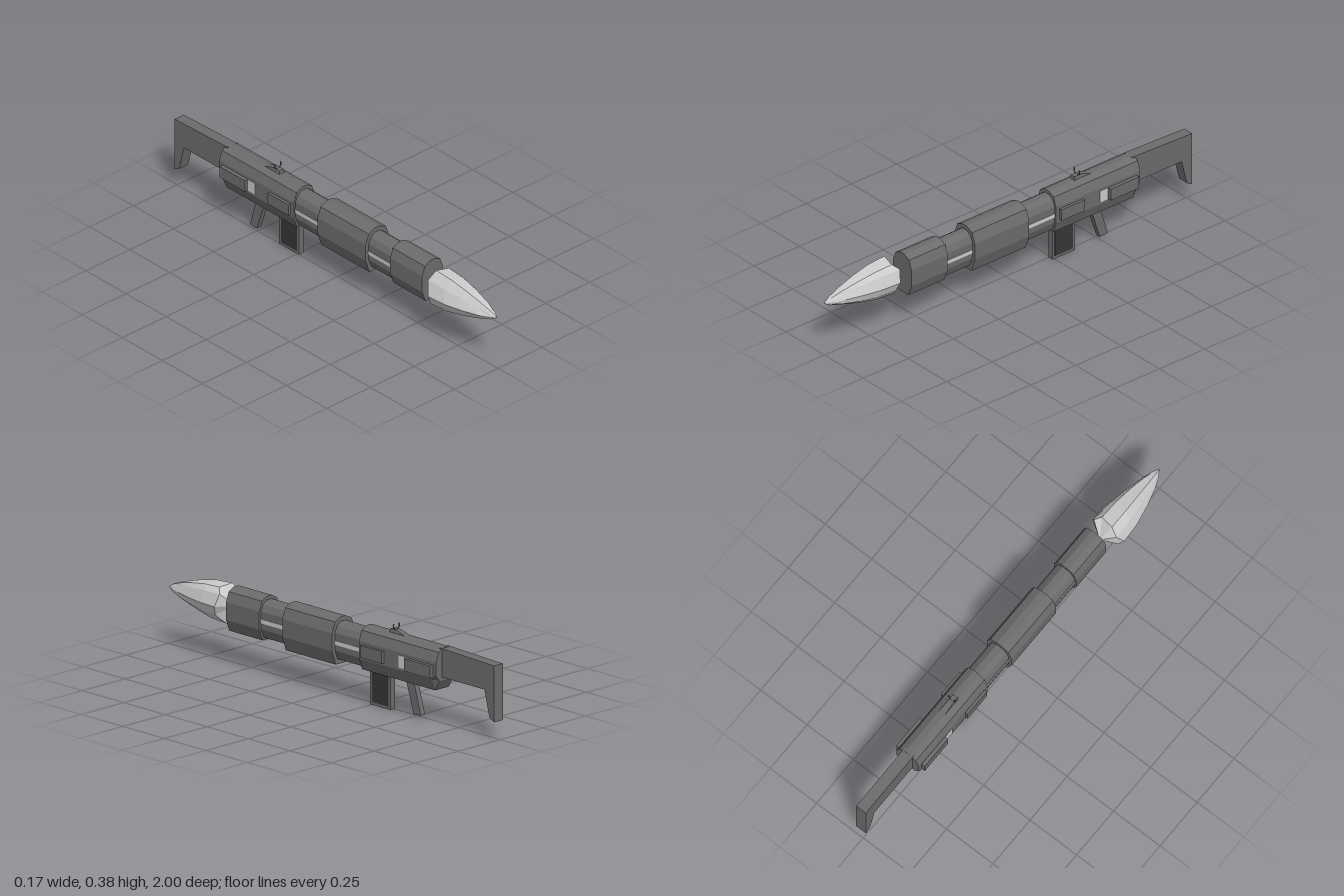
import * as THREE from 'three';

const AXIS = 0.011; // the body sits slightly off centre
const material = (color) => new THREE.MeshStandardMaterial({ color, flatShading: true, side: THREE.DoubleSide });
const light = material(0xcccccc);
const dark = material(0x6c6c6c);
const black = material(0x363636);

function mesh(name, geometry, mat, parent) {
  const m = new THREE.Mesh(geometry, mat);
  m.name = name;
  parent.add(m);
  return m;
}

function box(name, [x0, x1], [y0, y1], [z0, z1], mat, parent) {
  const m = mesh(name, new THREE.BoxGeometry(x1 - x0, y1 - y0, z1 - z0), mat, parent);
  m.position.set((x0 + x1) / 2, (y0 + y1) / 2, (z0 + z1) / 2);
  return m;
}

// Skin through rings of points, listed from back to front, with closed ends
function loft(rings) {
  const pos = [];
  const n = rings[0].length;
  const tri = (...pts) => pts.forEach((p) => pos.push(...p));
  for (let r = 0; r < rings.length - 1; r++) {
    for (let i = 0; i < n; i++) {
      const j = (i + 1) % n;
      const a = rings[r], b = rings[r + 1];
      tri(a[i], a[j], b[j]);
      tri(a[i], b[j], b[i]);
    }
  }
  const back = rings[0], front = rings[rings.length - 1];
  for (let i = 1; i < n - 1; i++) {
    tri(back[0], back[i + 1], back[i]);
    tri(front[0], front[i], front[i + 1]);
  }
  const g = new THREE.BufferGeometry();
  g.setAttribute('position', new THREE.Float32BufferAttribute(pos, 3));
  g.computeVertexNormals();
  return g;
}

// Tall faceted body section with a shallow ridge on top
function section(z, hw, y0, y1, low = 0.206) {
  const half = [
    [hw * 0.68, y0], [hw, low], [hw, 0.284], [hw * 0.74, y1 - 0.016], [0.014, y1],
  ];
  const left = half.map(([x, y]) => [-x, y]).reverse();
  return [...half, ...left].map(([x, y]) => [x, y, z]);
}

// Side outline given as [z, y], extruded across x
function plate(points, width) {
  const shape = new THREE.Shape(points.map(([z, y]) => new THREE.Vector2(-z, y)));
  const g = new THREE.ExtrudeGeometry(shape, { depth: width, bevelEnabled: false });
  g.translate(0, 0, -width / 2);
  return g.rotateY(Math.PI / 2);
}

export function createModel() {
  const model = new THREE.Group();
  model.name = 'launcher';
  const body = new THREE.Group();
  body.name = 'body';
  body.position.x = AXIS;
  model.add(body);

  // Tube with its two thicker sleeves
  const tubes = [
    ['barrel', -0.23, 0.39, 0.05, 0.166, 0.327],
    ['muzzle', 0.38, 0.58, 0.06, 0.155, 0.343],
    ['handguard', -0.065, 0.235, 0.066, 0.143, 0.347],
  ];
  for (const [name, z0, z1, hw, y0, y1] of tubes) {
    mesh(name, loft([section(z0, hw, y0, y1), section(z1, hw, y0, y1)]), dark, body);
  }

  // Receiver, cut away at the lower rear
  mesh('receiver', loft([
    section(-0.685, 0.059, 0.2, 0.343, 0.225),
    section(-0.66, 0.059, 0.155, 0.343),
    section(-0.22, 0.059, 0.155, 0.343),
  ]), dark, body);

  // Side panels, ports and rails on both sides
  for (const s of [1, -1]) {
    const span = (a, b) => (s > 0 ? [a, b] : [-b, -a]);
    box('frontPanel', span(0.05, 0.072), [0.217, 0.27], [-0.37, -0.24], dark, body);
    box('rearPanel', span(0.05, 0.076), [0.215, 0.27], [-0.665, -0.508], dark, body);
    box('port', span(0.05, 0.062), [0.217, 0.272], [-0.505, -0.46], light, body);
    box('frontRail', span(0.045, 0.052), [0.232, 0.25], [0.235, 0.38], light, body);
    box('rearRail', span(0.045, 0.052), [0.232, 0.25], [-0.22, -0.065], light, body);
  }

  // Stock with a downward butt
  mesh('stock', plate([
    [-0.67, 0.341], [-1, 0.331], [-1, 0.083], [-0.972, 0.098], [-0.942, 0.215], [-0.67, 0.215],
  ], 0.052), dark, body);

  // Magazine with dark side insets
  box('magazine', [-0.0125, 0.0125], [0, 0.17], [-0.363, -0.24], dark, body);
  box('magazineInset', [-0.0135, 0.0135], [0.012, 0.143], [-0.351, -0.252], black, body);

  // Slanted grip
  mesh('grip', plate([[-0.45, 0.17], [-0.498, 0.17], [-0.545, 0.014], [-0.502, 0.01]], 0.025), dark, body);

  // Rear sight: sloped foot and open ring
  const foot = (y, w, z0, z1) => [[w, y, z0], [w, y, z1], [-w, y, z1], [-w, y, z0]];
  mesh('sightFoot', loft([foot(0.328, 0.034, -0.455, -0.355), foot(0.343, 0.015, -0.45, -0.36),
    foot(0.358, 0.012, -0.4, -0.362)]), dark, body);
  const arc = Math.PI * 1.3;
  const ring = mesh('sightRing', new THREE.TorusGeometry(0.018, 0.003, 5, 14, arc), dark, body);
  ring.rotation.z = -Math.PI / 2 - arc / 2;
  ring.position.set(0, 0.374, -0.385);

  // Faceted warhead: one irregular outline scaled along its length
  const outline = [
    [0.02, -0.083], [0.064, -0.04], [0.08, 0], [0.062, 0.055], [0.038, 0.076],
    [-0.025, 0.085], [-0.06, 0.046], [-0.083, -0.014], [-0.055, -0.068],
  ];
  const profile = [[0.593, 0], [0.645, 1], [0.74, 0.93], [0.83, 0.72], [0.91, 0.46], [0.97, 0.22], [1, 0]];
  const rings = profile.map(([z, r], k) => outline.map(([x, y], i) => {
    const wobble = r > 0 && k < 5 ? 0.012 * ((i * 5 + k * 3) % 3 - 1) : 0;
    return [-0.004 + x * r, 0.25 + y * r, z + wobble];
  }));
  mesh('warhead', loft(rings), light, model);

  return model;
}
